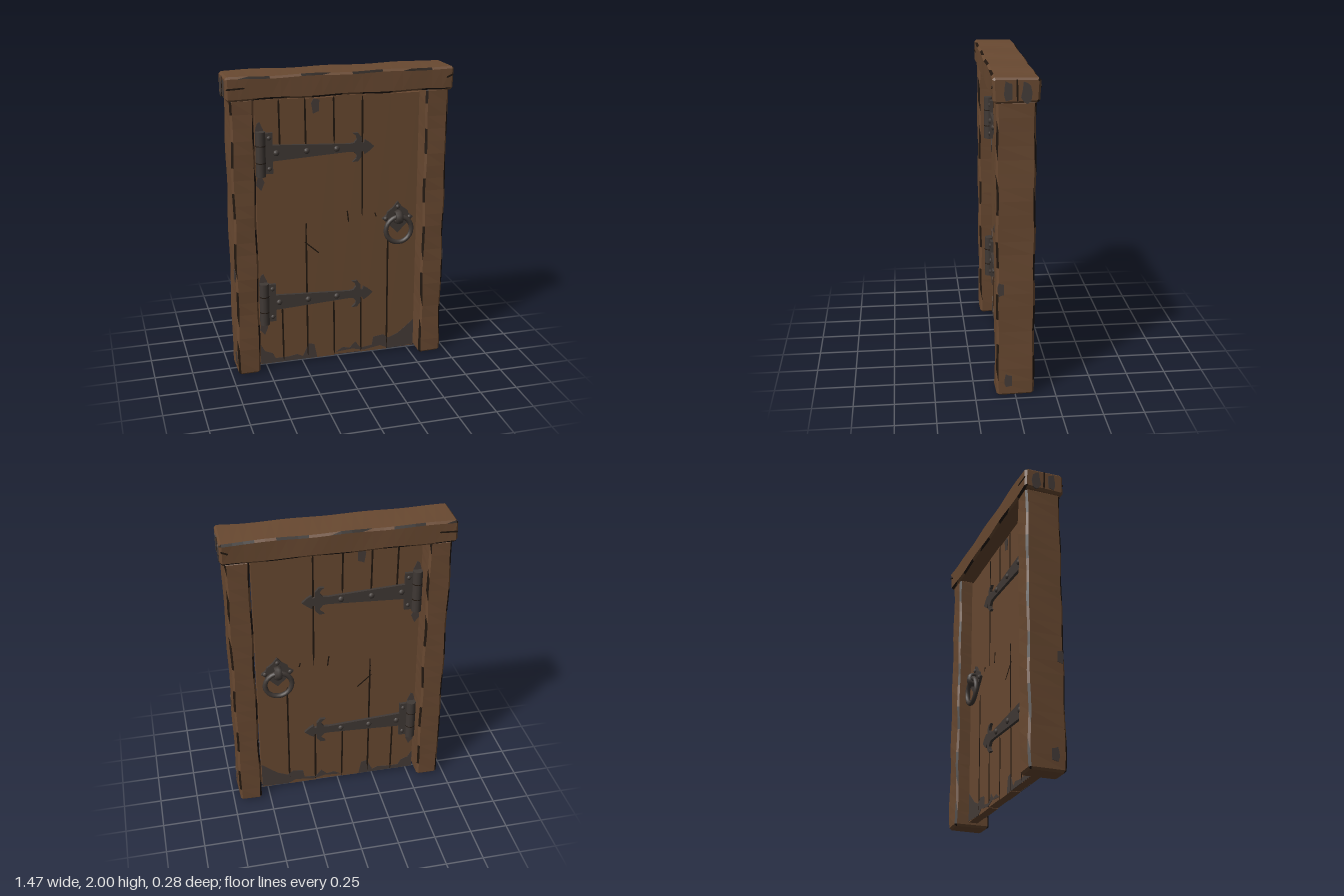
import * as THREE from 'three';

const mat = (name, color, side = THREE.FrontSide) =>
  Object.assign(new THREE.MeshStandardMaterial({ color, side }), { name });

export function createModel() {
  const wood = mat('brown wood', 0x694931);
  const ink = mat('dark crevice', 0x21170f);
  const iron = mat('dark iron', 0x403935);
  const stain = mat('grey stain', 0x453c38);
  const model = new THREE.Group();
  model.name = 'woodenDoor';

  const add = (parent, name, geo, material, x = 0, y = 0, z = 0) => {
    const m = new THREE.Mesh(geo, material);
    m.name = name;
    m.position.set(x, y, z);
    parent.add(m);
    return m;
  };
  const shapeOf = (pts) => new THREE.Shape(pts.map(([x, y]) => new THREE.Vector2(x, y)));

  // flat plate of depth d, centred on z = 0
  const plate = (pts, d = 0.004) =>
    new THREE.ExtrudeGeometry(shapeOf(pts), { depth: d, bevelEnabled: false }).translate(0, 0, -d / 2);

  // thin line along points, pointed at both ends
  const stroke = (pts, w) => {
    const left = [], right = [];
    for (let i = 1; i < pts.length - 1; i++) {
      const dx = pts[i + 1][0] - pts[i - 1][0], dy = pts[i + 1][1] - pts[i - 1][1];
      const k = w / 2 / Math.hypot(dx, dy);
      left.push([pts[i][0] - dy * k, pts[i][1] + dx * k]);
      right.unshift([pts[i][0] + dy * k, pts[i][1] - dx * k]);
    }
    return plate([pts[0], ...left, pts[pts.length - 1], ...right]);
  };
  const line = (x0, y0, x1, y1, w) => {
    const at = (t) => [x0 + (x1 - x0) * t, y0 + (y1 - y0) * t];
    return stroke([at(0), at(0.05), at(0.5), at(0.9), at(1)], w);
  };
  const blob = (x, y, rx, ry) => plate(Array.from({ length: 9 }, (_, i) => {
    const a = i / 9 * Math.PI * 2, r = 1 + 0.18 * Math.sin(i * 2.6 + x * 9);
    return [x + Math.cos(a) * rx * r, y + Math.sin(a) * ry * r];
  }), 0.008);

  // hewn beam along z with chamfered edges, some of them dark
  const beam = (w, h, len, orient, warp) => {
    const c = 0.013, a = w / 2, b = h / 2;
    const s = shapeOf([[-a + c, -b], [a - c, -b], [a, -b + c], [a, b - c],
      [a - c, b], [-a + c, b], [-a, b - c], [-a, -b + c]]);
    const g = new THREE.ExtrudeGeometry(s, {
      depth: len - 2 * c, steps: 22, bevelThickness: c, bevelSize: c, bevelOffset: -c, bevelSegments: 1,
    }).translate(0, 0, c - len / 2);
    g.computeVertexNormals();
    const p = g.attributes.position, n = g.attributes.normal;
    g.clearGroups();
    let start = 0, last = -1;
    for (let i = 0; i <= p.count; i += 3) {
      let k = -1;
      if (i < p.count) {
        const z = p.getZ(i) + p.getZ(i + 1) + p.getZ(i + 2);
        const edge = Math.abs(n.getX(i)) > 0.4 && Math.abs(n.getY(i)) > 0.4;
        k = edge && Math.sin(z * 6 + n.getX(i) * 3 + n.getY(i)) > -0.1 ? 1 : 0;
      }
      if (k !== last) {
        if (last >= 0) g.addGroup(start, i - start, last);
        start = i;
        last = k;
      }
    }
    orient(g);
    const v = new THREE.Vector3();
    for (let i = 0; i < p.count; i++) {
      warp(v.fromBufferAttribute(p, i));
      p.setXYZ(i, v.x, v.y, v.z);
    }
    g.computeVertexNormals();
    return g;
  };

  // posts
  for (const s of [-1, 1]) {
    const g = beam(0.155, 0.24, 1.86, (q) => q.rotateX(-Math.PI / 2), (v) => {
      const ox = Math.sign(v.x), oz = Math.sign(v.z);
      v.x -= ox * 0.003 * (1 + Math.sin(v.y * 11 + oz + s));
      v.z -= oz * 0.003 * (1 + Math.sin(v.y * 14 + ox * 2 + s));
    });
    add(model, s > 0 ? 'leftPost' : 'rightPost', g, [wood, ink], s * 0.632, 0.93, 0);
  }

  // lintel, flared at its left end
  const top = beam(0.262, 0.152, 1.46, (q) => q.rotateY(Math.PI / 2), (v) => {
    const f = THREE.MathUtils.smoothstep(v.x, 0.6, 0.72);
    v.y -= Math.sign(v.y) * 0.003 * (1 + Math.sin(v.x * 13 + Math.sign(v.z)));
    v.z *= 1 + 0.07 * f + 0.012 * Math.sin(v.x * 12 + Math.sign(v.y));
    if (v.y < 0) v.z *= 1 - 0.06 * f;
  });
  add(model, 'lintel', top, [wood, ink], 0, 1.924, 0);

  // planks
  const seams = [-0.54, -0.385, -0.217, -0.03, 0.16, 0.345, 0.54];
  for (let i = 0; i < 6; i++) {
    const w = seams[i + 1] - seams[i], lo = 0.018 + 0.004 * (i % 2), hi = 1.832 - 0.004 * (i % 3);
    add(model, 'plank', new THREE.BoxGeometry(w, hi - lo, 0.06), wood, seams[i] + w / 2, (lo + hi) / 2, 0);
  }

  const strap = [[-0.48, 0.055], [-0.39, 0.05], [0.07, 0.026], [0.1, 0.03], [0.12, 0.055], [0.115, 0.075],
    [0.09, 0.095], [0.125, 0.095], [0.15, 0.065], [0.15, 0.03], [0.165, 0.025], [0.172, 0.048], [0.2, 0.03], [0.235, 0]];
  const strapOutline = [...strap, ...strap.slice(0, -1).reverse().map(([x, y]) => [x, -y])];

  // both faces carry the same seams, stains and ironwork
  for (const s of [1, -1]) {
    const face = new THREE.Group();
    face.name = s > 0 ? 'frontFace' : 'backFace';
    model.add(face);
    const z = s * 0.03;

    // seams: x, from, to
    for (const [x, a, b] of [[-0.385, 1.83, 1.5], [-0.385, 0.42, 0.02], [-0.217, 1.83, 1.5], [-0.217, 0.95, 0.02],
      [-0.03, 1.83, 1.52], [-0.03, 0.43, 0.02], [0.16, 1.83, 1.0], [0.16, 0.44, 0.02], [0.345, 0.86, 0.02]]) {
      add(face, 'seam', line(x - 0.002, a, x + 0.002, b, 0.011), ink, 0, 0, z);
    }
    // cracks
    for (const c of [[-0.23, 0.87, -0.13, 0.78], [0.06, 1.06, 0.07, 0.98], [0.25, 1.03, 0.26, 1.0], [-0.217, 1.0, -0.22, 0.93]]) {
      add(face, 'crack', line(...c, 0.008), ink, 0, 0, z);
    }

    // stains
    add(face, 'lowerStainRight', plate([[-0.54, 0.02], [-0.54, 0.16], [-0.51, 0.11], [-0.46, 0.09], [-0.44, 0.05],
      [-0.35, 0.05], [-0.29, 0.06], [-0.25, 0.04], [-0.21, 0.13], [-0.17, 0.12], [-0.15, 0.02]]), stain, 0, 0, z);
    add(face, 'lowerStainLeft', plate([[-0.02, 0.04], [0.03, 0.07], [0.08, 0.06], [0.12, 0.1], [0.16, 0.05], [0.24, 0.06],
      [0.25, 0.12], [0.32, 0.13], [0.36, 0.1], [0.43, 0.13], [0.48, 0.17], [0.54, 0.22], [0.54, 0.03], [0.36, 0.02],
      [0.3, 0.05], [0.18, 0.03], [0.1, 0.05]]), stain, 0, 0, z);
    add(face, 'upperStain', blob(-0.15, 1.775, 0.028, 0.05), stain, 0, 0, z);
    for (const y of [1.3, 0.62, 0.29, 1.64]) add(face, 'hingeStain', blob(-0.515, y, 0.024, 0.05), stain, 0, 0, z);

    const bolt = (parent, x, y, r, zz) => {
      add(parent, 'bolt', new THREE.SphereGeometry(r, 8, 6).scale(1, 1, 0.7), iron, x, y, s * zz);
    };

    // hinges
    for (const y of [1.49, 0.467]) {
      const hinge = new THREE.Group();
      hinge.name = 'hinge';
      hinge.position.y = y;
      face.add(hinge);
      add(hinge, 'strap', plate(strapOutline, 0.026), iron, 0, 0, s * 0.036);
      add(hinge, 'hingePlate', new THREE.BoxGeometry(0.1, 0.265, 0.03), iron, -0.482, 0, s * 0.035);
      add(hinge, 'barrel', new THREE.CylinderGeometry(0.032, 0.032, 0.29, 10), iron, -0.511, 0, s * 0.052);
      for (const e of [-1, 1]) {
        add(hinge, 'barrelGap', new THREE.CylinderGeometry(0.0328, 0.0328, 0.006, 10), ink, -0.511, e * 0.055, s * 0.052);
        bolt(hinge, -0.455, e * 0.1, 0.015, 0.05);
      }
      for (const x of [-0.41, -0.213, -0.016]) bolt(hinge, x, 0, 0.02, 0.049);
    }

    // ring handle
    const handle = new THREE.Group();
    handle.name = 'ringHandle';
    handle.position.x = 0.405;
    face.add(handle);
    add(handle, 'handlePlate', plate([[0, 1.1], [0.03, 1.06], [0.07, 1.03], [0.075, 1.01], [0.107, 0.985], [0.06, 0.94], [0, 0.88],
      [-0.06, 0.94], [-0.107, 0.985], [-0.075, 1.01], [-0.07, 1.03], [-0.03, 1.06]], 0.026), iron, 0, 0, s * 0.034);
    for (const [x, y] of [[0, 1.063], [-0.083, 0.985], [0.083, 0.985]]) bolt(handle, x, y, 0.016, 0.047);
    add(handle, 'staple', new THREE.TorusGeometry(0.03, 0.016, 6, 12).rotateY(Math.PI / 2).scale(1.7, 1.1, 1),
      iron, 0, 0.995, s * 0.062);
    add(handle, 'ring', new THREE.TorusGeometry(0.089, 0.0165, 8, 24), iron, 0, 0.91, s * 0.07);

    // splits in the lintel ends
    add(face, 'lintelSplit', line(-0.728, 1.925, -0.61, 1.93, 0.01), ink, 0, 0, s * 0.131);
    add(face, 'lintelSplit', line(0.725, 1.95, 0.68, 1.93, 0.01), ink, 0, 0, s * 0.139);
  }

  // marks on the outer sides
  for (const s of [-1, 1]) {
    const side = (name, g, m, x) => add(model, name, g.rotateY(Math.PI / 2), m, s * x, 0, 0);
    side('endStain', blob(-0.05, 1.92, 0.025, 0.06), stain, 0.7295);
    side('endStain', blob(0.055, 1.91, 0.03, 0.065), stain, 0.7295);
    side('endSplit', line(0, 1.99, 0.004, 1.86, 0.01), ink, 0.7305);
    side('postStain', blob(-0.09, 0.71, 0.022, 0.045), stain, 0.706);
    side('postStain', blob(-0.045, 0.1, 0.026, 0.045), stain, 0.706);
  }
  add(model, 'topSplit', line(-0.635, -0.02, -0.632, -0.12, 0.007).rotateX(-Math.PI / 2), ink, 0, 1.996, 0);
  return model;
}
